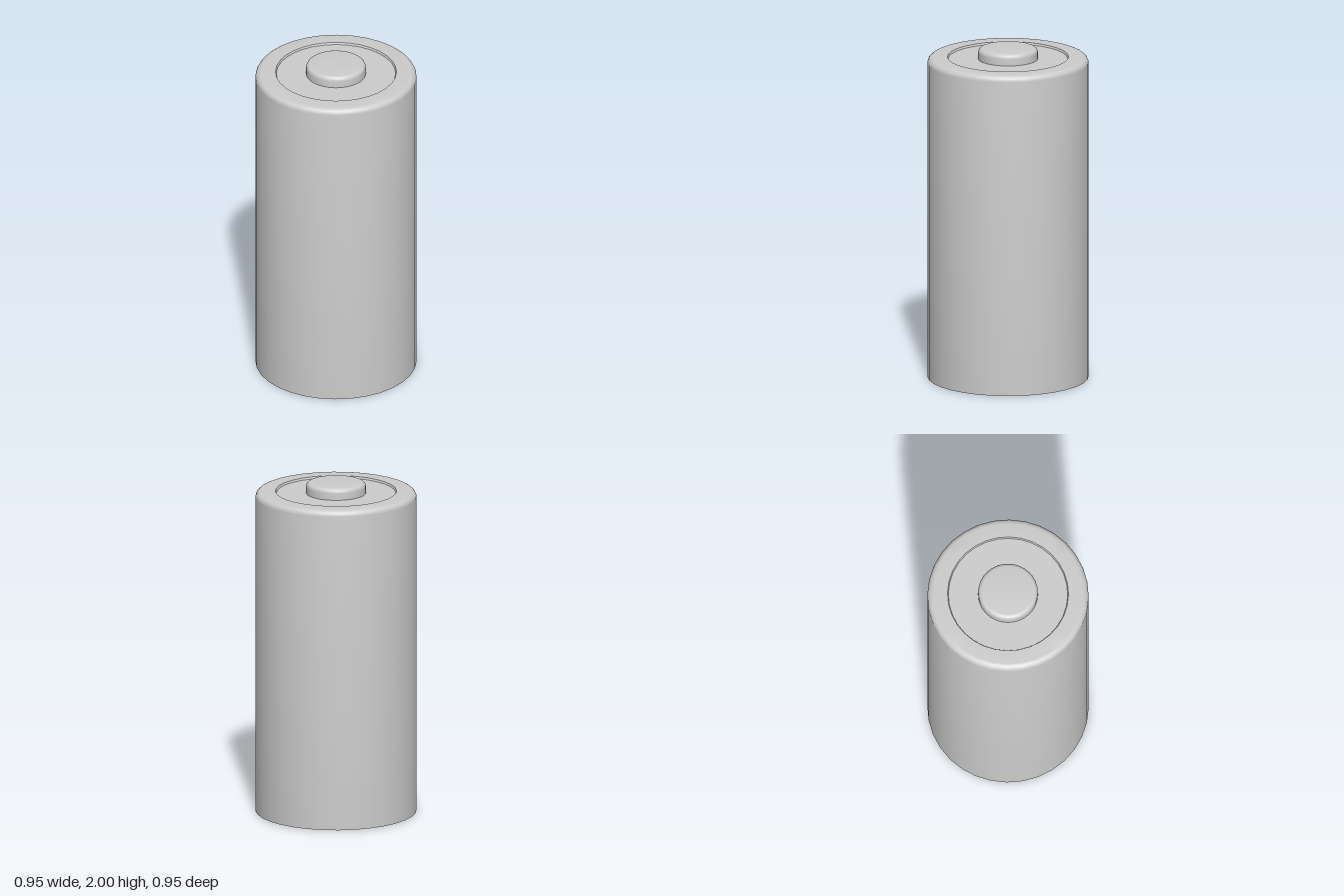
import * as THREE from 'three';
import { toCreasedNormals } from 'three/addons/utils/BufferGeometryUtils.js';

const SIDES = 32;
const material = new THREE.MeshStandardMaterial({ color: 0xcccccc });

// Points along a quarter-round edge, from the vertical wall to the flat top
function roundedEdge(radius, top, fillet, steps = 6) {
  return Array.from({ length: steps + 1 }, (_, i) => {
    const a = (i / steps) * Math.PI / 2;
    return [radius - fillet + fillet * Math.cos(a), top - fillet + fillet * Math.sin(a)];
  });
}

// Turned solid from [radius, height] pairs, listed from bottom to top
function turned(name, profile) {
  const points = profile.map(([r, y]) => new THREE.Vector2(r, y));
  const geometry = toCreasedNormals(new THREE.LatheGeometry(points, SIDES), Math.PI / 6);
  const mesh = new THREE.Mesh(geometry, material);
  mesh.name = name;
  return mesh;
}

export function createModel() {
  const model = new THREE.Group();
  model.name = 'battery';

  const radius = 0.476, top = 1.945, recess = 0.012;

  // Casing: sharp bottom rim, rounded shoulder, shallow recess at each end
  model.add(turned('casing', [
    [0, recess], [0.368, recess], [0.37, 0], [radius, 0],
    ...roundedEdge(radius, top, 0.035),
    [0.357, top], [0.352, top - recess], [0, top - recess],
  ]));

  // Positive terminal button
  model.add(turned('terminal', [
    [0.176, top - recess],
    ...roundedEdge(0.176, 2, 0.025),
    [0, 2],
  ]));

  return model;
}
